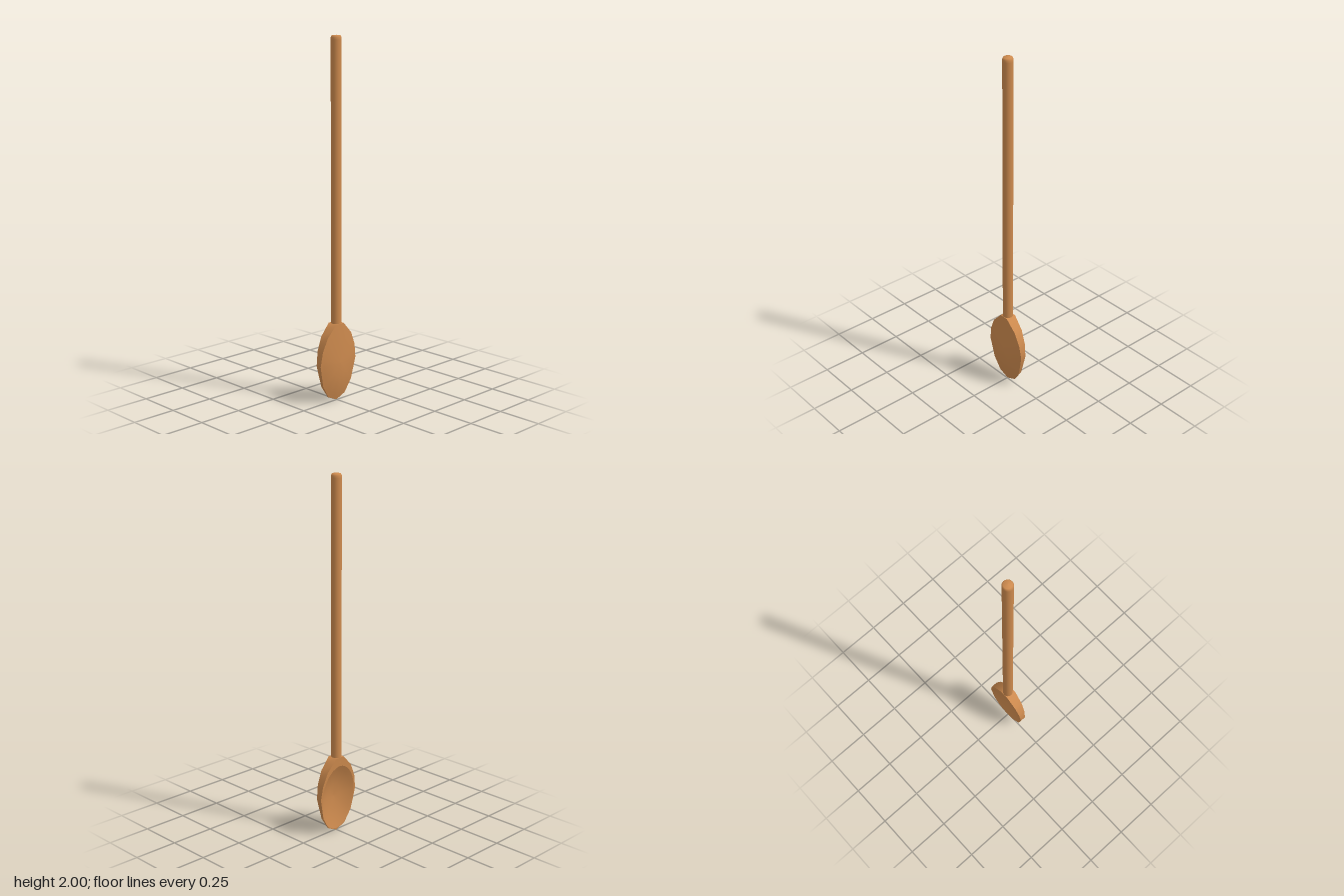
import * as THREE from 'three';

// Skin a list of closed rings (arrays of Vector3 with equal counts)
function loft(rings) {
  const n = rings[0].length;
  const index = [];
  for (let r = 0; r < rings.length - 1; r++) {
    for (let i = 0; i < n; i++) {
      const j = (i + 1) % n;
      const a = r * n + i, b = r * n + j, c = a + n, d = b + n;
      index.push(a, b, c, b, d, c);
    }
  }
  const geo = new THREE.BufferGeometry().setFromPoints(rings.flat());
  geo.setIndex(index);
  geo.computeVertexNormals();
  return geo;
}

export function createModel() {
  const wood = new THREE.MeshStandardMaterial({ color: 0xcd8a4e });
  wood.name = 'wood';
  const spoon = new THREE.Group();
  spoon.name = 'woodenSpoon';
  const add = (name, geo) => {
    const mesh = new THREE.Mesh(geo, wood);
    mesh.name = name;
    spoon.add(mesh);
    return mesh;
  };

  // Handle with a softly rounded top
  const handleProfile = [
    [0.0285, 0.41], [0.0285, 0.43], [0.0285, 1.975], [0.0285, 1.988], [0.023, 1.998], [0, 2],
  ].map(([x, y]) => new THREE.Vector2(x, y));
  add('handle', new THREE.LatheGeometry(handleProfile, 24)).position.z = -0.005;

  // Bowl outline, counter-clockwise from the tip, with each edge split in two
  const half = [
    [0.062, 0.027], [0.107, 0.098], [0.134, 0.22], [0.122, 0.3], [0.09, 0.375], [0.028, 0.442],
  ];
  const corners = [[0, 0], ...half, ...half.map(([x, y]) => [-x, y]).reverse()];
  const outline = corners.flatMap(([x, y], i) => {
    const [u, v] = corners[(i + 1) % corners.length];
    return [[x, y], [(x + u) / 2, (y + v) / 2]];
  });

  // Bowl thickness tapers from the neck to the tip
  const frontZ = (y) => -0.003 + 0.065 * y;
  const backZ = (y) => -0.006 - 0.065 * y;

  // Ring shrunk towards a centre height, swelling to a depth in the middle
  const domeRing = (points, s, cy, rimZ, depth) => points.map(([x, y]) => new THREE.Vector3(
    x * s, cy + (y - cy) * s, THREE.MathUtils.lerp(rimZ(y), depth, 1 - s * s)));

  const steps = [1, 0.85, 0.7, 0.55, 0.4, 0.2, 0];
  const frontRings = steps.map((s) => domeRing(outline, s, 0.22, frontZ, 0.031));
  const backRim = domeRing(outline, 1, 0.22, backZ, 0);

  // Oval mouth of the hollow
  const mouth = outline.map(([x, y]) => {
    const t = Math.atan2((y - 0.2) / 0.19, x / 0.122);
    return [0.124 * Math.cos(t), 0.2 + 0.19 * Math.sin(t)];
  });
  const hollowRings = steps.map((s) => domeRing(mouth, s, 0.2, backZ, 0.017)).reverse();

  add('bowlFront', loft(frontRings));
  add('bowlSide', loft([backRim, frontRings[0]]));
  add('bowlLip', loft([hollowRings[hollowRings.length - 1], backRim]));
  add('bowlHollow', loft(hollowRings));

  return spoon;
}
